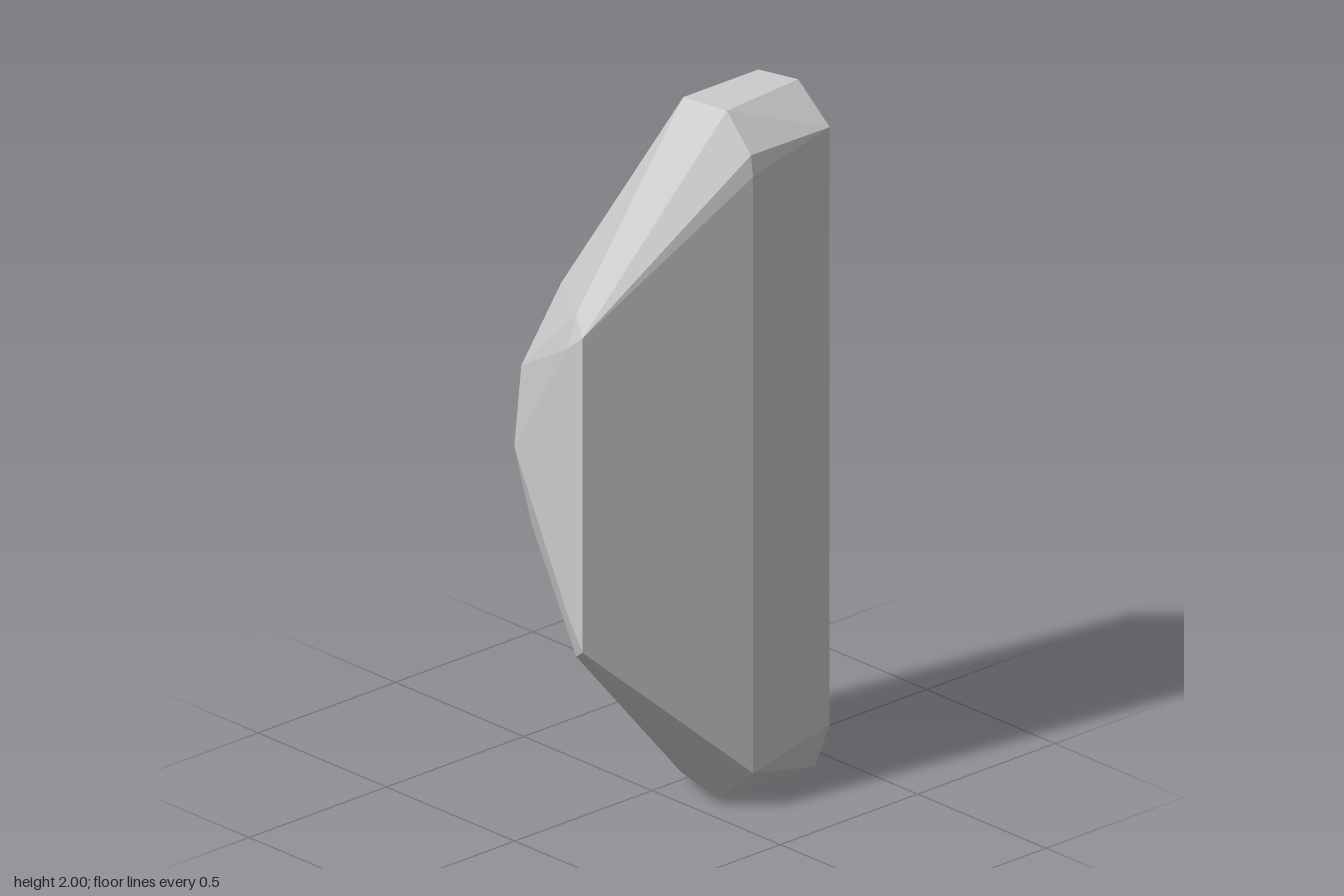
import * as THREE from 'three';
import { ConvexGeometry } from 'three/addons/geometries/ConvexGeometry.js';

export function createModel() {
  const group = new THREE.Group();
  group.name = 'crystalRock';

  // Corners of the faceted stone, grouped by region
  const backOutline = [
    [0.288, 1.9], [0.165, 2], [0.01, 1.98], [-0.19, 1.635],
    [-0.19, 0.39], [-0.005, 0.05], [0.073, 0.018], [0.23, 0.03], [0.288, 0.17],
  ].map(([x, y]) => [x, y, -0.378]);
  const crown = [[0.01, 1.98, -0.105], [0.19, 2, -0.095], [0.284, 1.9, -0.095], [0.293, 1.84, -0.094]];
  const foot = [[0.01, 0.03, -0.095], [0.16, 0, -0.092], [0.293, 0.115, -0.094]];
  const frontRidge = [
    [0.132, 1.46, 0.376], [0.07, 1.5, 0.342], [0.07, 1.41, 0.375],
    [0.132, 0.55, 0.376], [0.07, 0.51, 0.342], [0.07, 0.645, 0.375],
  ];
  const sideRim = [
    [-0.268, 1.41, 0.08], [-0.29, 1.2, 0.205], [-0.294, 0.97, 0.227],
    [-0.284, 0.73, 0.172], [-0.242, 0.47, -0.075],
  ];

  // The stone is the convex hull of its corners
  const points = [...backOutline, ...crown, ...foot, ...frontRidge, ...sideRim]
    .map((p) => new THREE.Vector3(...p));
  const stone = new THREE.Mesh(
    new ConvexGeometry(points),
    new THREE.MeshStandardMaterial({ color: 0xcccccc, flatShading: true }),
  );
  stone.name = 'stone';
  group.add(stone);
  return group;
}
